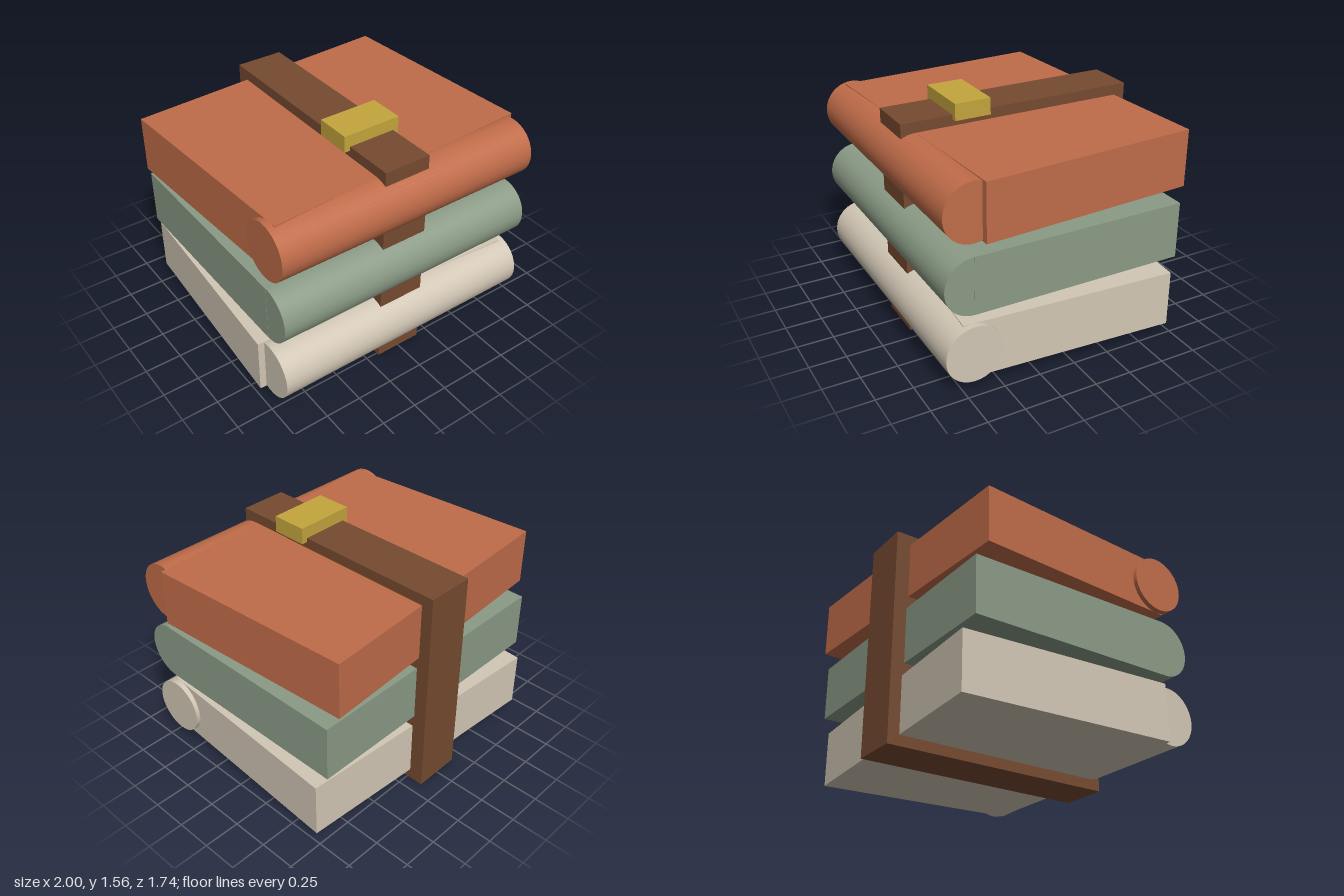
import * as THREE from 'three';

const material = (name, color) => {
  const m = new THREE.MeshStandardMaterial({ color });
  m.name = name;
  return m;
};

export function createModel() {
  const model = new THREE.Group();
  model.name = 'strappedBundle';

  const cream = material('cream', 0xd2c7b5);
  const sage = material('sage', 0x8b9b86);
  const terracotta = material('terracotta', 0xc06c49);
  const leather = material('brown leather', 0x764a30);
  const brass = material('brass', 0xc4a53d);

  const add = (parent, name, geometry, mat, x, y, z) => {
    const mesh = new THREE.Mesh(geometry, mat);
    mesh.name = name;
    mesh.position.set(x, y, z);
    parent.add(mesh);
    return mesh;
  };

  // Three folded blankets: a slightly turned slab with a straight rolled fold in front
  const radius = 0.193;
  const slab = new THREE.BoxGeometry(1.913, radius * 2, 1.457);
  const roll = new THREE.CylinderGeometry(radius, radius, 1.91, 48).rotateZ(Math.PI / 2);
  const blankets = [
    ['bottomBlanket', cream, 0.265, -0.06],
    ['middleBlanket', sage, 0.737, 0],
    ['topBlanket', terracotta, 1.21, 0.06],
  ];
  for (const [name, mat, y, turn] of blankets) {
    const blanket = new THREE.Group();
    blanket.name = name;
    add(blanket, 'foldedSlab', slab, mat, 0, y, -0.051).rotation.y = turn;
    add(blanket, 'rolledFold', roll, mat, 0, y, 0.677);
    model.add(blanket);
  }

  // Strap running through the whole stack, with its buckle on top
  add(model, 'strap', new THREE.BoxGeometry(0.33, 1.475, 1.64), leather, 0, 0.7375, -0.05);
  add(model, 'buckle', new THREE.BoxGeometry(0.412, 0.112, 0.247), brass, 0, 1.503, 0.297);

  return model;
}
